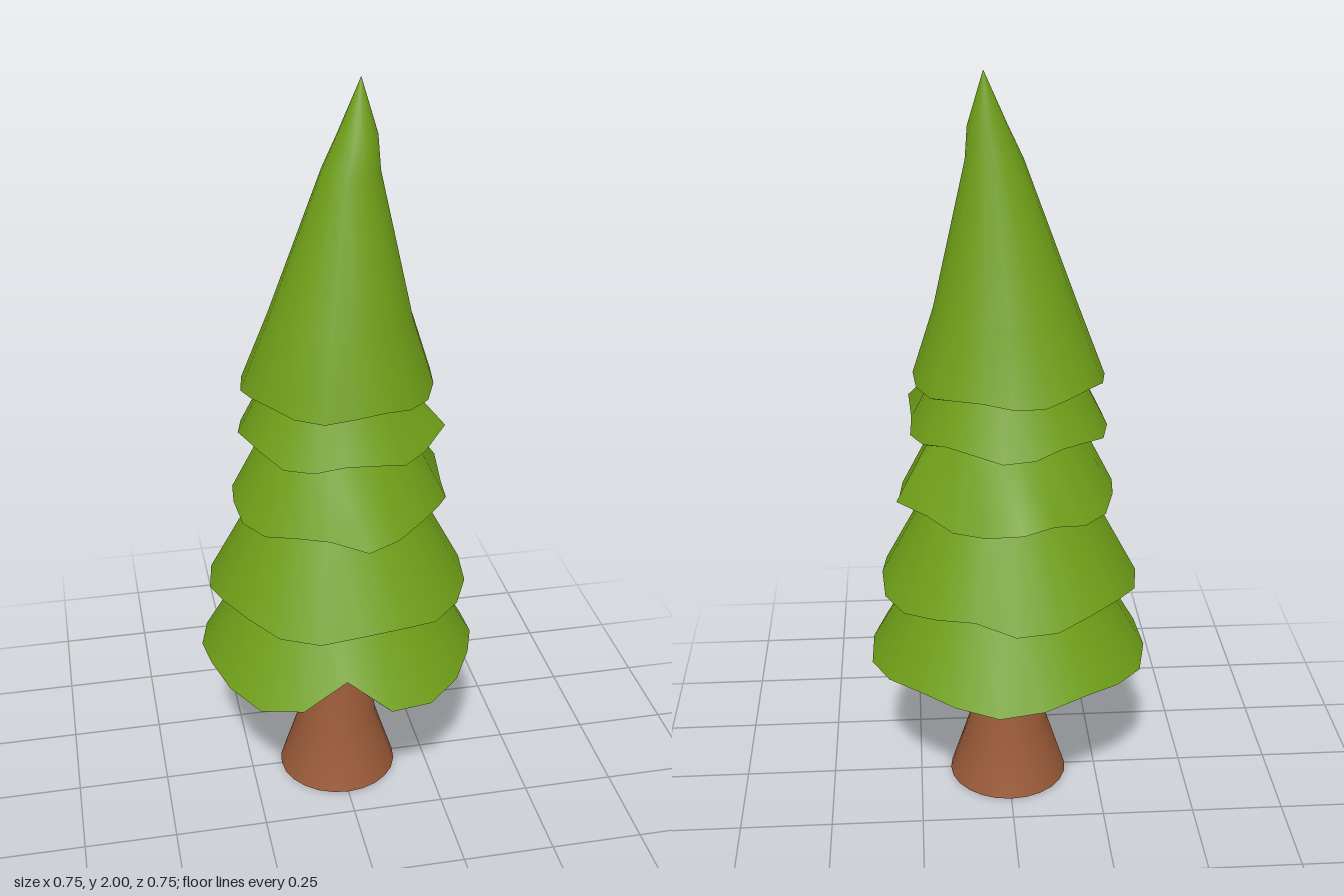
import * as THREE from 'three';
import { mergeGeometries } from 'three/addons/utils/BufferGeometryUtils.js';

const SIDES = 20;
const RIM = 0.016; // thickness of the foliage shell

// Smooth closed band through rings of points, listed from bottom to top
function band(rings, inward = false) {
  const pos = rings.flat(2);
  const index = [];
  for (let j = 0; j < rings.length - 1; j++) {
    for (let i = 0; i < SIDES; i++) {
      const a = j * SIDES + i, b = j * SIDES + (i + 1) % SIDES;
      const c = a + SIDES, d = b + SIDES;
      if (inward) index.push(a, c, b, b, c, d);
      else index.push(a, b, c, b, d, c);
    }
  }
  const geo = new THREE.BufferGeometry();
  geo.setAttribute('position', new THREE.Float32BufferAttribute(pos, 3));
  geo.setIndex(index);
  geo.computeVertexNormals();
  return geo;
}

// profile: [radius, y, centreX, centreZ] from the rim upward
// bumps: corner number -> [lift, extra radius]
function foliageLayer({ profile, turn = 0, wave = 0.012, phase = 0, bumps = {} }) {
  const [r0, y0] = profile[0], [r1, y1] = profile[1];
  const slope = (r1 - r0) / (y1 - y0);
  const ring = ([r, y, cx = 0, cz = 0], isRim, inset) =>
    Array.from({ length: SIDES }, (_, i) => {
      const a = (i / SIDES) * Math.PI * 2 + THREE.MathUtils.degToRad(turn);
      let lift = 0, extra = 0;
      if (isRim) {
        const [dy, dr] = bumps[i] || [0, 0];
        lift = dy + wave * Math.sin(5 * a + phase);
        extra = dr + slope * lift;
      }
      const rr = Math.max(r + extra - inset, 0);
      return [cx + rr * Math.sin(a), y + lift - inset * 0.4, cz + rr * Math.cos(a)];
    });
  const outer = profile.map((p, j) => ring(p, j === 0, 0));
  const inner = profile.map((p, j) => ring(p, j === 0, RIM));
  return mergeGeometries([band(outer), band(inner, true), band([inner[0], outer[0]])]);
}

export function createModel() {
  const tree = new THREE.Group();
  tree.name = 'tree';
  const green = new THREE.MeshStandardMaterial({ color: 0x6f9f18 });
  const brown = new THREE.MeshStandardMaterial({ color: 0x9a5a38 });

  // Flared trunk
  const trunkProfile = [[0.165, 0], [0.11, 0.17], [0.083, 0.42], [0.068, 0.6], [0.05, 0.8]];
  const trunk = new THREE.Mesh(
    new THREE.LatheGeometry(trunkProfile.map(([x, y]) => new THREE.Vector2(x, y)), 24), brown);
  trunk.name = 'trunk';
  const base = new THREE.Mesh(new THREE.CircleGeometry(0.165, 24).rotateX(Math.PI / 2), brown);
  base.name = 'trunkBase';
  tree.add(trunk, base);

  // Overlapping skirts of foliage, lowest first
  const layers = [
    { profile: [[0.378, 0.42], [0.25, 0.64], [0.16, 0.8], [0, 0.86]],
      turn: -6.7, phase: 2, bumps: { 0: [0.075, 0.01], 19: [0.012, 0] } },
    { profile: [[0.348, 0.64], [0.22, 0.88], [0.15, 1.0], [0, 1.05]],
      turn: 0, phase: 0.8, bumps: { 4: [-0.012, 0], 9: [0.012, 0] } },
    { profile: [[0.287, 0.89], [0.19, 1.08], [0.14, 1.16], [0, 1.2]],
      turn: 3.5, phase: 3.6, bumps: { 0: [0, 0.028], 6: [0.015, 0.045], 10: [0.005, 0.04] } },
    { profile: [[0.258, 1.085], [0.19, 1.22], [0.15, 1.32], [0, 1.36]],
      turn: -6, phase: 1.6, bumps: { 4: [0.025, 0.045], 17: [0.005, 0.005] } },
    { profile: [[0.25, 1.22], [0.186, 1.4, 0.005, 0.01], [0.073, 1.78, 0.033, 0.005],
      [0.05, 1.865, 0.05, 0], [0, 2, 0.06, -0.01]],
      turn: 0, wave: 0.009, phase: 0.5 },
  ];
  layers.forEach((layer, i) => {
    const mesh = new THREE.Mesh(foliageLayer(layer), green);
    mesh.name = i === layers.length - 1 ? 'treetop' : `foliageLayer${i + 1}`;
    tree.add(mesh);
  });
  return tree;
}
